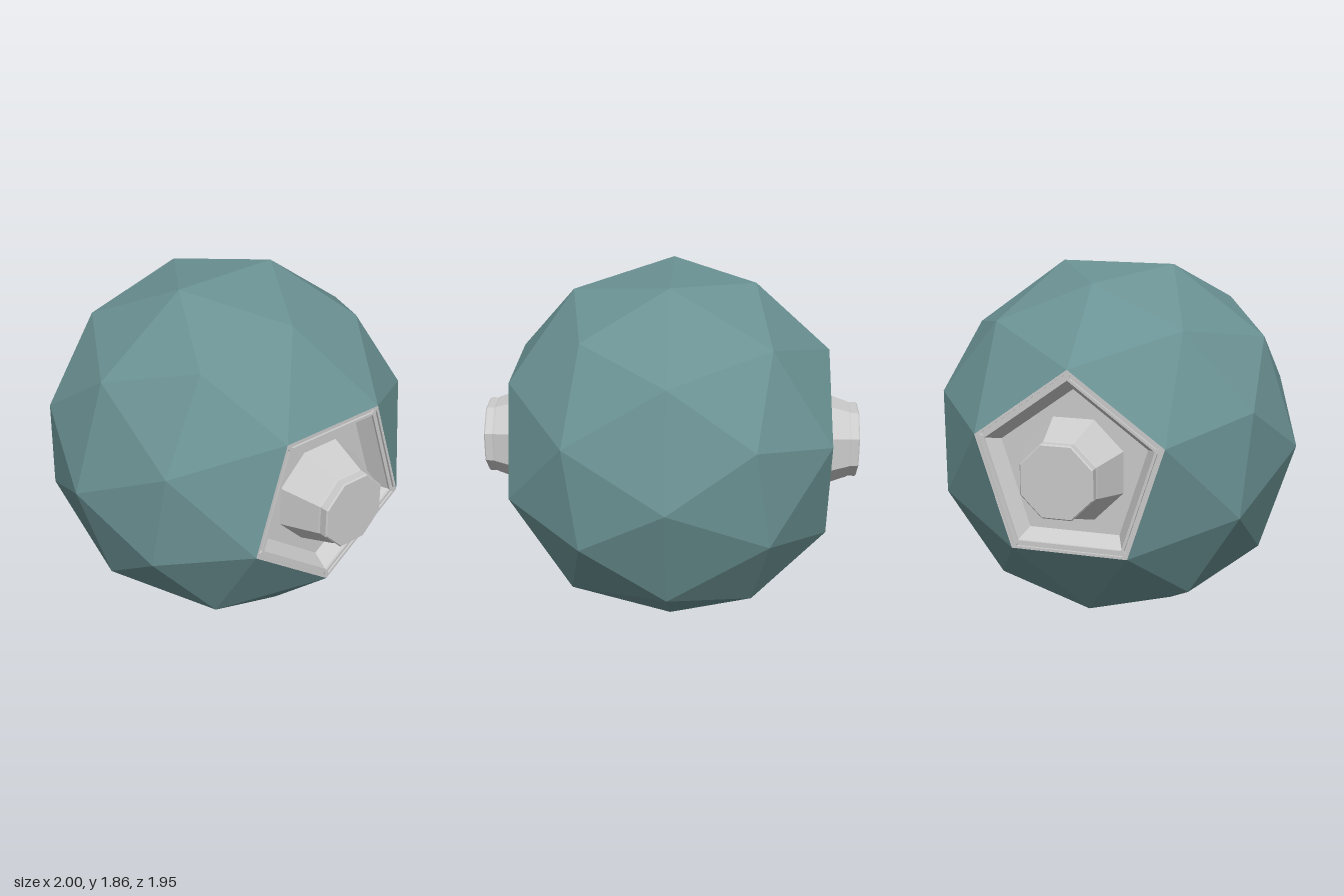
import * as THREE from 'three';

const R = 0.976, CY = 0.928;
const teal = new THREE.MeshStandardMaterial({ color: 0x6b9294, flatShading: true });
const grey = new THREE.MeshStandardMaterial({ color: 0xcccccc, flatShading: true, side: THREE.DoubleSide });

function add(parent, name, geometry, material) {
  const mesh = new THREE.Mesh(geometry, material);
  mesh.name = name;
  parent.add(mesh);
  return mesh;
}

// Faceted ball: icosahedron with its poles on x, split once, with both pole caps left open
function shellGeometry() {
  const verts = [1, 0, 0], faces = [];
  for (let ring = 0; ring < 2; ring++) {
    for (let k = 0; k < 5; k++) {
      const a = (k + ring / 2) * Math.PI * 0.4;
      verts.push(ring ? -0.4472 : 0.4472, -0.8944 * Math.cos(a), 0.8944 * Math.sin(a));
    }
  }
  verts.push(-1, 0, 0);
  for (let k = 0; k < 5; k++) {
    const n = (k + 1) % 5;
    const a = 1 + k, a2 = 1 + n, b = 6 + k, b2 = 6 + n;
    faces.push(0, a2, a, a, a2, b, a2, b2, b, b, b2, 11);
  }
  const p = new THREE.PolyhedronGeometry(verts, faces, R, 1).getAttribute('position').array;
  const kept = [];
  for (let i = 0; i < p.length; i += 9) {
    const reach = Math.max(Math.abs(p[i]), Math.abs(p[i + 3]), Math.abs(p[i + 6]));
    if (reach < 0.9) kept.push(...p.slice(i, i + 9));
  }
  const g = new THREE.BufferGeometry();
  g.setAttribute('position', new THREE.Float32BufferAttribute(kept, 3));
  g.computeVertexNormals();
  return g;
}

function lathe(points, sides, start) {
  return new THREE.LatheGeometry(points.map(([r, y]) => new THREE.Vector2(r, y)), sides, start);
}

function pentagon(r) {
  return Array.from({ length: 5 }, (_, k) => {
    const a = k * Math.PI * 0.4;
    return new THREE.Vector2(r * Math.cos(a), r * Math.sin(a));
  });
}

// Pentagonal rim with one mitred slot along each side
function rimGeometry() {
  const shape = new THREE.Shape(pentagon(0.513));
  shape.holes.push(new THREE.Path(pentagon(0.46)));
  for (let k = 0; k < 5; k++) {
    const a = (k + 0.5) * Math.PI * 0.4;
    const at = (d, side) => {
      const t = side * (d * Math.tan(Math.PI / 5) - 0.013);
      return new THREE.Vector2(d * Math.cos(a) - t * Math.sin(a), d * Math.sin(a) + t * Math.cos(a));
    };
    shape.holes.push(new THREE.Path([at(0.386, -1), at(0.402, -1), at(0.402, 1), at(0.386, 1)]));
  }
  const g = new THREE.ExtrudeGeometry(shape, { depth: 0.013, bevelEnabled: false });
  return g.rotateX(-Math.PI / 2).translate(0, 0.817, 0);
}

// Recessed socket with an octagonal plug, built along +y
function socket(name) {
  const g = new THREE.Group();
  g.name = name;
  add(g, 'socketRim', rimGeometry(), grey);
  // slot floor, sloping walls and recess floor
  add(g, 'socketRecess', lathe([[0.51, 0.818], [0.46, 0.818], [0.40, 0.74], [0, 0.74]], 5, Math.PI / 2), grey);
  add(g, 'socketPlug',
    lathe([[0.276, 0.74], [0.205, 0.945], [0.2, 0.955], [0.2, 0.993], [0.193, 1], [0, 1]], 8, Math.PI / 8), grey);
  return g;
}

export function createModel() {
  const model = new THREE.Group();
  model.name = 'facetedBall';
  const body = new THREE.Group();
  body.name = 'body';
  body.position.y = CY;
  model.add(body);
  add(body, 'shell', shellGeometry(), teal);
  for (const [name, side] of [['leftSocket', 1], ['rightSocket', -1]]) {
    const s = socket(name);
    s.rotation.z = -side * Math.PI / 2;
    body.add(s);
  }
  return model;
}
